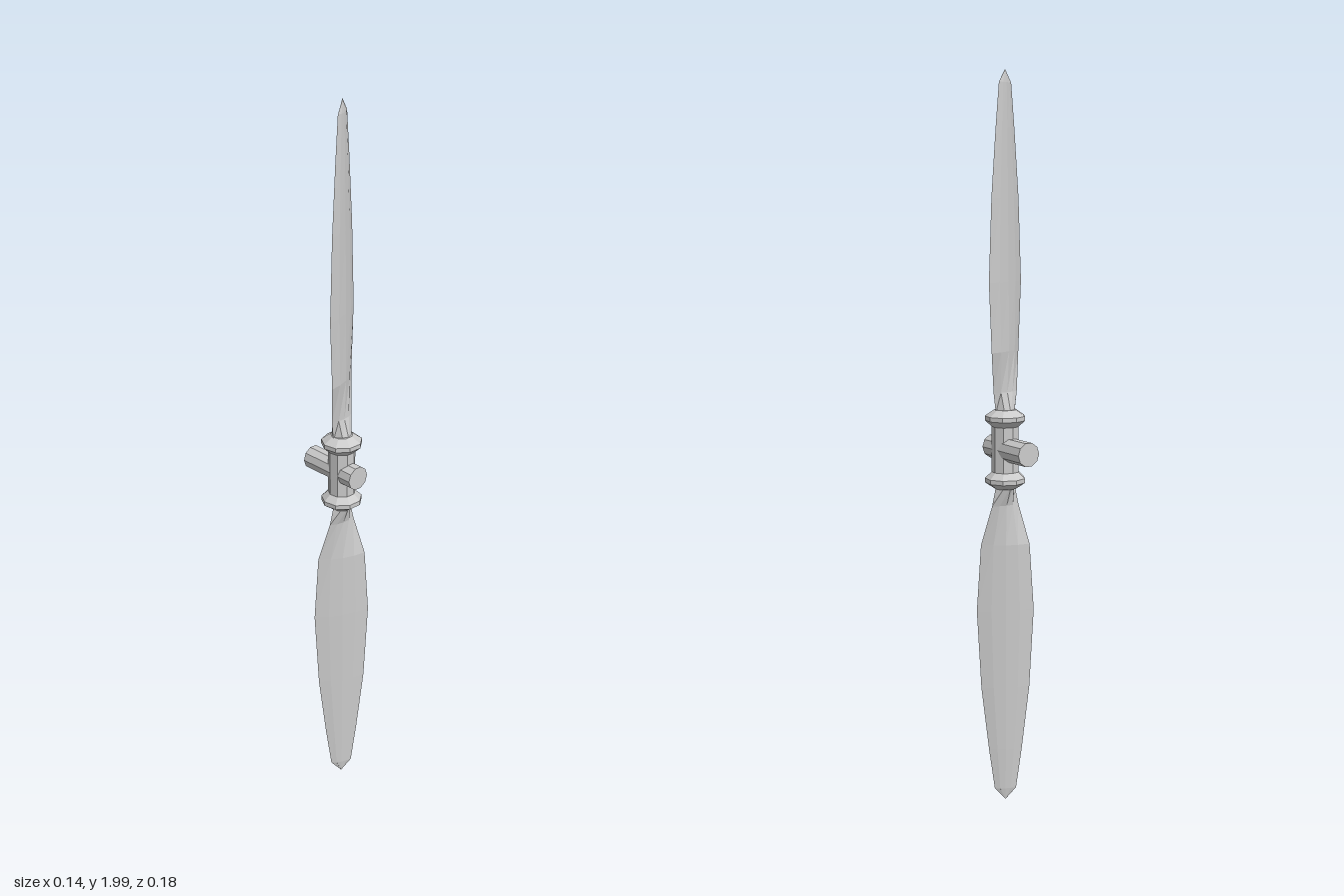
import * as THREE from 'three';

const MID = 1.003; // height of the shaft
const AXIS_Z = 0.024; // blades and hub sit slightly ahead of the shaft centre

const material = new THREE.MeshStandardMaterial({ color: 0xcccccc, flatShading: true });

function addMesh(parent, geometry, name) {
  const mesh = new THREE.Mesh(geometry, material);
  mesh.name = name;
  parent.add(mesh);
  return mesh;
}

// Blade stations: [distance from hub, half chord, half thickness, pitch in degrees]
const STATIONS = [
  [0.10, 0.03, 0.028, 0],
  [0.155, 0.040, 0.009, 6],
  [0.265, 0.067, 0.012, 25],
  [0.45, 0.079, 0.011, 24.5],
  [0.67, 0.067, 0.009, 25],
  [0.85, 0.046, 0.007, 25],
  [0.965, 0.030, 0.005, 25],
  [0.997, 0.001, 0.001, 25],
];

// Lens-shaped blade section, as fractions of half chord and half thickness
const SECTION = [[1, 0], [0.5, 0.75], [0, 1], [-0.5, 0.75], [-1, 0], [-0.5, -0.75], [0, -1], [0.5, -0.75]];

function bladeGeometry() {
  const positions = [];
  const index = [];
  const n = SECTION.length;
  for (const [y, chord, thick, degrees] of STATIONS) {
    const a = THREE.MathUtils.degToRad(degrees);
    for (const [u, v] of SECTION) {
      const x = u * chord;
      const z = v * thick;
      positions.push(x * Math.cos(a) + z * Math.sin(a), y, z * Math.cos(a) - x * Math.sin(a));
    }
  }
  for (let s = 0; s < STATIONS.length - 1; s++) {
    for (let i = 0; i < n; i++) {
      const a = s * n + i;
      const b = s * n + (i + 1) % n;
      index.push(a, a + n, b, b, a + n, b + n);
    }
  }
  // Close the tip
  const tip = (STATIONS.length - 1) * n;
  for (let i = 1; i < n - 1; i++) index.push(tip, tip + i + 1, tip + i);
  const geometry = new THREE.BufferGeometry();
  geometry.setAttribute('position', new THREE.Float32BufferAttribute(positions, 3));
  geometry.setIndex(index);
  geometry.computeVertexNormals();
  return geometry;
}

export function createModel() {
  const model = new THREE.Group();
  model.name = 'propeller';

  // Drive shaft through the hub, front to back
  const shaft = addMesh(model, new THREE.CylinderGeometry(0.033, 0.033, 0.177, 10), 'shaft');
  shaft.rotation.set(Math.PI / 2, Math.PI / 2, 0, 'XYZ');
  shaft.position.set(0, MID, -0.0015);

  // Waisted hub with a collar at each end
  const half = [[0.037, 0.062], [0.055, 0.079], [0.055, 0.091], [0.03, 0.108], [0, 0.108]];
  const profile = [
    ...half.map(([r, y]) => new THREE.Vector2(r, -y)).reverse(),
    ...half.map(([r, y]) => new THREE.Vector2(r, y)),
  ];
  const hub = addMesh(model, new THREE.LatheGeometry(profile, 9), 'hub');
  hub.rotation.y = Math.PI;
  hub.position.set(0, MID, AXIS_Z);

  // Two twisted blades, half a turn apart
  const blade = bladeGeometry();
  ['upperBlade', 'lowerBlade'].forEach((name, i) => {
    const mesh = addMesh(model, blade, name);
    mesh.position.set(0, MID, AXIS_Z);
    mesh.rotation.z = i * Math.PI;
  });

  return model;
}
